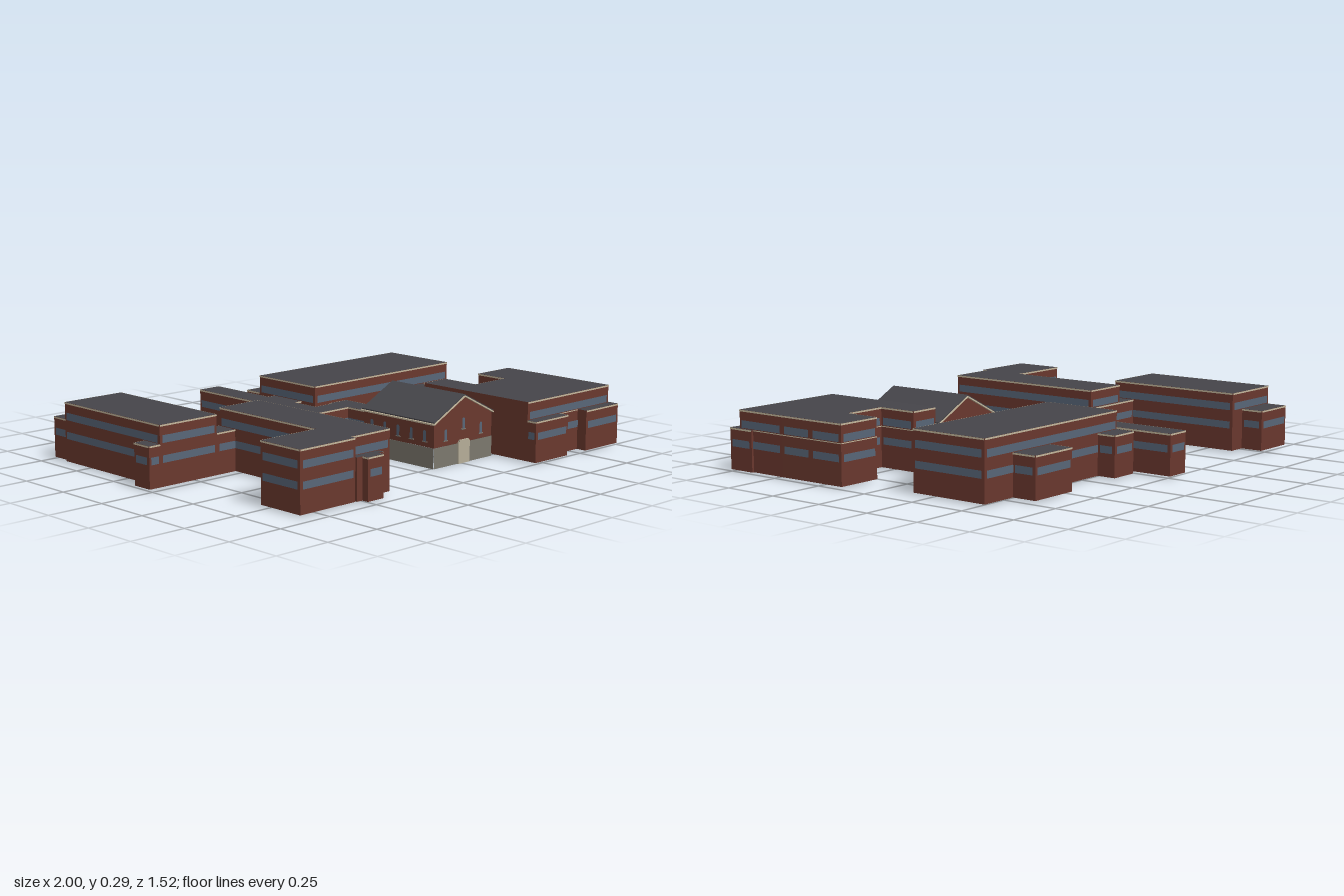
import * as THREE from 'three';

const mat = (name, color, side = THREE.FrontSide) => {
  const m = new THREE.MeshStandardMaterial({ color, side });
  m.name = name;
  return m;
};

export function createModel() {
  const brick = mat('brick', 0x6a382e, THREE.DoubleSide);
  const roofGrey = mat('roof grey', 0x46454a, THREE.DoubleSide);
  const glass = mat('window blue', 0x586678);
  const trim = mat('cream trim', 0xc4b79c, THREE.DoubleSide);
  const stone = mat('base stone', 0x7c786e, THREE.DoubleSide);
  const doorCream = mat('door cream', 0xb5ad98);

  const LOW = 0.184, TALL = 0.262, GROUND = 0.008;
  const model = new THREE.Group();
  model.name = 'schoolBuilding';

  const add = (parent, name, geometry, material) => {
    const mesh = new THREE.Mesh(geometry, material);
    mesh.name = name;
    parent.add(mesh);
    return mesh;
  };

  // Upright panel along the edge p to q, facing outward
  const panel = (parent, name, p, q, y0, y1, material, out = 0, inset = 0) => {
    const dx = q[0] - p[0], dz = q[1] - p[1], len = Math.hypot(dx, dz);
    const nx = -dz / len, nz = dx / len;
    const mesh = add(parent, name, new THREE.PlaneGeometry(len - 2 * inset, y1 - y0), material);
    mesh.position.set((p[0] + q[0]) / 2 + nx * out, (y0 + y1) / 2, (p[1] + q[1]) / 2 + nz * out);
    mesh.rotation.y = Math.atan2(nx, nz);
  };

  const rect = (x0, x1, z0, z1) => [[x0, z1], [x1, z1], [x1, z0], [x0, z0]];

  // Footprints: name, height, outline
  const blocks = [
    ['westWing', TALL, rect(-0.945, -0.65, -0.645, -0.015)],
    ['westWingRearAnnex', LOW, rect(-0.93, -0.73, -0.745, -0.645)],
    ['westPorch', LOW, rect(-1, -0.945, -0.11, -0.015)],
    ['mainCorridor', LOW, rect(-0.65, 0.2, -0.115, -0.015)],
    ['rearCorridor', LOW, rect(-0.11, 0, -0.76, -0.115)],
    ['rearLink', LOW, rect(0, 0.04, -0.42, -0.25)],
    ['hallLink', LOW, rect(0.1, 0.2, -0.128, 0.1)],
    ['frontWestWing', TALL, [[-0.84, 0.685], [-0.55, 0.685], [-0.55, 0.66], [-0.335, 0.66],
      [-0.335, -0.11], [-0.55, -0.11], [-0.55, 0.465], [-0.84, 0.465]]],
    ['frontWestPorch', LOW, rect(-0.545, -0.4, 0.66, 0.69)],
    ['frontWestPorchStep', LOW, rect(-0.515, -0.43, 0.69, 0.72)],
    ['rearEastWing', TALL, rect(0.04, 0.89, -0.52, -0.16)],
    ['rearEastAnnexSmall', LOW, rect(0.04, 0.17, -0.605, -0.52)],
    ['rearEastAnnexBack', LOW, rect(0.49, 0.72, -0.63, -0.52)],
    ['rearEastAnnexFront', LOW, rect(0.49, 0.72, -0.16, -0.055)],
    ['frontEastWing', TALL, [[0.445, 0.708], [0.99, 0.708], [0.99, 0.46], [0.988, 0.3],
      [0.985, 0.135], [0.78, 0.135], [0.78, 0.295], [0.58, 0.295], [0.58, 0.115], [0.445, 0.115]]],
    ['frontEastBayLeft', LOW, rect(0.445, 0.655, 0.708, 0.755)],
    ['frontEastBayRight', LOW, rect(0.78, 1, 0.63, 0.755)],
  ];

  const inside = (x, z, pts) => {
    let hit = false;
    pts.forEach(([ax, az], i) => {
      const [bx, bz] = pts[(i + 1) % pts.length];
      if ((az > z) !== (bz > z) && x < ax + (z - az) * (bx - ax) / (bz - az)) hit = !hit;
    });
    return hit;
  };
  const hall = ['hall', TALL, rect(0.08, 0.445, 0.1, 0.51)];

  // True where a neighbour hides the middle of a wall at height y
  const covered = (self, p, q, y) => {
    const dx = q[0] - p[0], dz = q[1] - p[1], len = Math.hypot(dx, dz);
    const x = (p[0] + q[0]) / 2 - dz / len * 0.006, z = (p[1] + q[1]) / 2 + dx / len * 0.006;
    return [...blocks, hall].some(b => b !== self && b[1] > y && inside(x, z, b[2]));
  };

  // Flat-roofed brick blocks, open underneath, with window bands
  for (const block of blocks) {
    const [name, h, pts] = block;
    const g = new THREE.Group();
    g.name = name;
    model.add(g);
    pts.forEach((p, i) => {
      const q = pts[(i + 1) % pts.length];
      const len = Math.hypot(q[0] - p[0], q[1] - p[1]);
      const inset = Math.min(0.012, len * 0.15);
      panel(g, 'wall', p, q, GROUND, h, brick);
      if (!covered(block, p, q, h - 0.005)) panel(g, 'trim', p, q, h - 0.007, h, trim, 0.002);
      if (len > 0.04 && !covered(block, p, q, 0.12)) panel(g, 'lowerWindows', p, q, 0.106, 0.137, glass, 0.002, inset);
      if (h === TALL && len > 0.04 && !covered(block, p, q, 0.2)) {
        panel(g, 'upperWindows', p, q, 0.187, 0.219, glass, 0.002, inset);
        if (name === 'frontEastWing') panel(g, 'middleTrim', p, q, 0.18, 0.184, trim, 0.002);
      }
    });
    const roof = new THREE.Shape(pts.map(([x, z]) => new THREE.Vector2(x, -z)));
    add(g, 'roof', new THREE.ShapeGeometry(roof).rotateX(-Math.PI / 2), roofGrey).position.y = h;
  }

  // Gabled entrance hall
  const g = new THREE.Group();
  g.name = 'gabledHall';
  model.add(g);
  const X = 0.262, HW = 0.18, Z0 = 0.102, Z1 = 0.51, EAVE = 0.196, RIDGE = 0.287, BASE = 0.088;
  const walls = rect(X - HW, X + HW, Z0, Z1);
  walls.forEach((p, i) => {
    const q = walls[(i + 1) % 4];
    panel(g, 'stoneBase', p, q, 0, BASE, stone, 0.002);
    panel(g, 'hallWall', p, q, BASE, EAVE, brick);
  });
  const gable = new THREE.Shape([[-HW, EAVE], [HW, EAVE], [0, RIDGE]].map(a => new THREE.Vector2(...a)));
  for (const z of [Z0, Z1]) add(g, 'gableWall', new THREE.ShapeGeometry(gable), brick).position.set(X, 0, z);

  // Pitched roof over a slightly larger cream verge
  const chevron = (name, w, eave, ridge, t, z0, z1, material) => {
    const s = new THREE.Shape([[-w, eave], [-w, eave - t], [0, ridge - t], [w, eave - t], [w, eave], [0, ridge]]
      .map(a => new THREE.Vector2(...a)));
    const geo = new THREE.ExtrudeGeometry(s, { depth: z1 - z0, bevelEnabled: false });
    add(g, name, geo, material).position.set(X, 0, z0);
  };
  chevron('pitchedRoof', 0.186, 0.2, 0.295, 0.005, 0.095, 0.517, roofGrey);
  chevron('roofVerge', 0.19, 0.193, 0.29, 0.006, 0.091, 0.521, trim);

  // Narrow arched windows with sill
  const arch = (w, h) => {
    const s = new THREE.Shape();
    s.moveTo(-w / 2, 0);
    s.lineTo(w / 2, 0);
    s.lineTo(w / 2, h - w / 2);
    s.absarc(0, h - w / 2, w / 2, 0, Math.PI, false);
    return new THREE.ShapeGeometry(s, 6);
  };
  const archedWindow = (x, y, z, turn) => {
    const win = new THREE.Group();
    win.name = 'archedWindow';
    win.position.set(x, y, z);
    win.rotation.y = turn;
    add(win, 'pane', arch(0.016, 0.05), glass).position.z = 0.003;
    add(win, 'sill', new THREE.BoxGeometry(0.026, 0.004, 0.005), stone).position.z = 0.002;
    g.add(win);
  };
  for (const [dx, y] of [[-0.11, 0.11], [0, 0.145], [0.11, 0.11]]) archedWindow(X + dx, y, Z1, 0);
  for (let i = 0; i < 5; i++) {
    const z = Z0 + 0.05 + i * 0.077;
    archedWindow(X - HW, 0.11, z, -Math.PI / 2);
    if (z < 0.115) archedWindow(X + HW, 0.11, z, Math.PI / 2);
  }

  // Entrance door with surround
  add(g, 'doorSurround', new THREE.BoxGeometry(0.07, 0.094, 0.008), doorCream).position.set(X, 0.047, Z1 + 0.004);
  add(g, 'doorHead', new THREE.BoxGeometry(0.056, 0.008, 0.008), doorCream).position.set(X, 0.097, Z1 + 0.004);

  return model;
}
